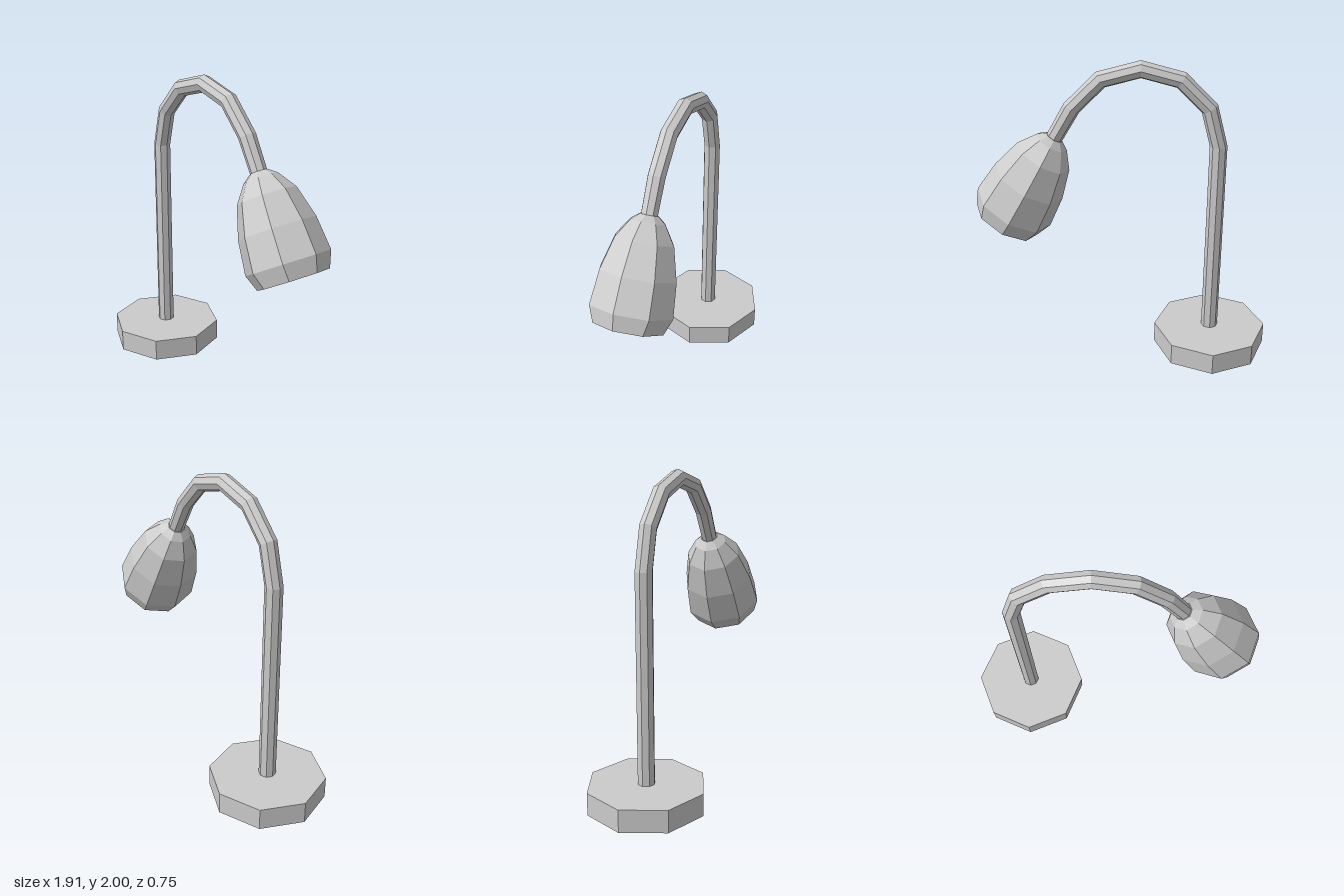
import * as THREE from 'three';

const SIDES = 8;
const ARC = { x: -0.1, y: 1.46, r: 0.486 };

const material = () => new THREE.MeshStandardMaterial({ color: 0xcccccc, flatShading: true });

// Point on the gooseneck arc, at an angle in degrees (180 = top of the pole)
function arcPoint(deg) {
  const a = THREE.MathUtils.degToRad(deg);
  return [ARC.x + ARC.r * Math.cos(a), ARC.y + ARC.r * Math.sin(a)];
}

// Skin octagonal rings; each ring is { x, y, deg, r }, spanned by the in-plane direction deg and z
function loft(rings) {
  const point = ({ x, y, deg, r }, j) => {
    const a = THREE.MathUtils.degToRad(deg);
    const t = ((j % SIDES) / SIDES) * Math.PI * 2;
    const u = r * Math.cos(t);
    return [x + u * Math.cos(a), y + u * Math.sin(a), r * Math.sin(t)];
  };
  const pos = [];
  for (let i = 0; i < rings.length - 1; i++) {
    for (let j = 0; j < SIDES; j++) {
      const a = point(rings[i], j), b = point(rings[i], j + 1);
      const c = point(rings[i + 1], j + 1), d = point(rings[i + 1], j);
      if (rings[i].r > 0) pos.push(...a, ...b, ...c);
      if (rings[i + 1].r > 0) pos.push(...a, ...c, ...d);
      else if (rings[i].r === 0) continue;
    }
  }
  const geometry = new THREE.BufferGeometry();
  geometry.setAttribute('position', new THREE.Float32BufferAttribute(pos, 3));
  geometry.computeVertexNormals();
  return geometry;
}

export function createModel() {
  const lamp = new THREE.Group();
  lamp.name = 'deskLamp';
  const add = (name, geometry) => {
    const mesh = new THREE.Mesh(geometry, material());
    mesh.name = name;
    lamp.add(mesh);
    return mesh;
  };

  // Octagonal foot
  add('base', new THREE.CylinderGeometry(0.376, 0.376, 0.145, SIDES)).position.set(-0.585, 0.0725, 0);

  // The shade axis leaves the arc at 30 degrees, pointing down and outward
  const [sx, sy] = arcPoint(30);
  const onAxis = (t, r) => ({ x: sx + t * 0.5, y: sy - t * Math.sqrt(0.75), deg: 30, r });

  // Straight pole and bent neck
  const tubeRadius = 0.055;
  const neck = [{ x: ARC.x - ARC.r, y: 0.14, deg: 180, r: tubeRadius }];
  for (let deg = 180; deg >= 30; deg -= 30) {
    const [x, y] = arcPoint(deg);
    neck.push({ x, y, deg, r: tubeRadius });
  }
  neck.push(onAxis(0.235, 0.052));
  add('neck', loft(neck));

  // Bell-shaped shade: closed top, outer wall, rim, then the hollow inside
  const shadeProfile = [
    [0.223, 0], [0.223, 0.057], [0.262, 0.108], [0.371, 0.184], [0.57, 0.24],
    [0.779, 0.262], [0.881, 0.222], [0.881, 0.203], [0.48, 0.165], [0.48, 0],
  ];
  add('shade', loft(shadeProfile.map(([t, r]) => onAxis(t, r))));

  return lamp;
}
